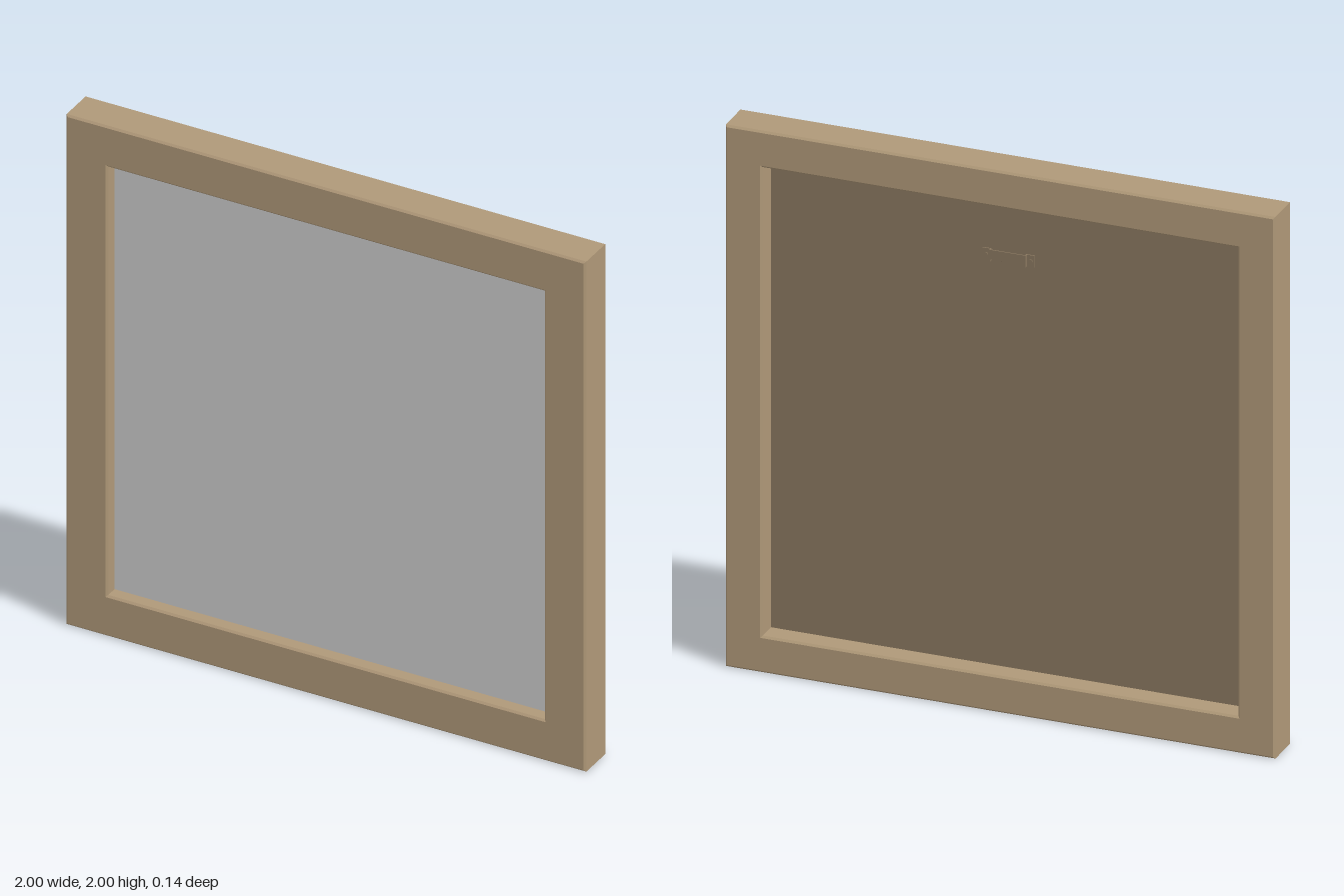
import * as THREE from 'three';

const wood = new THREE.MeshStandardMaterial({ name: 'wood', color: 0xaf9878 });
const print = new THREE.MeshStandardMaterial({ name: 'paleSheet', color: 0xcccccc });
const board = new THREE.MeshStandardMaterial({ name: 'brownBoard', color: 0x89775f });

const DEPTH = 0.0725; // half the frame depth
const LIP = 0.022; // back of the front lip

// Sweeps a closed (inset, z) profile around a 2 x 2 square with mitred corners.
function squareSweep(profile) {
  const corners = [[-1, -1], [1, -1], [1, 1], [-1, 1]];
  const at = (k, j) => {
    const [sx, sy] = corners[k % 4];
    const [inset, z] = profile[j % profile.length];
    return [sx * (1 - inset), 1 + sy * (1 - inset), z];
  };
  const pos = [];
  for (let k = 0; k < 4; k++) {
    for (let j = 0; j < profile.length; j++) {
      const a = at(k, j), b = at(k + 1, j), c = at(k + 1, j + 1), d = at(k, j + 1);
      pos.push(...a, ...b, ...c, ...a, ...c, ...d);
    }
  }
  const geo = new THREE.BufferGeometry();
  geo.setAttribute('position', new THREE.Float32BufferAttribute(pos, 3));
  geo.computeVertexNormals();
  return geo;
}

export function createModel() {
  const model = new THREE.Group();
  model.name = 'pictureFrame';

  const add = (name, geo, mat, x, y, z, parent = model) => {
    const mesh = new THREE.Mesh(geo, mat);
    mesh.name = name;
    mesh.position.set(x, y, z);
    parent.add(mesh);
    return mesh;
  };

  // Wooden frame with eased edges and a rabbet cut into the back
  const e = 0.007;
  add('frame', squareSweep([
    [e, -DEPTH], [0, -DEPTH + e], [0, DEPTH - e], [e, DEPTH],
    [0.16 - e, DEPTH], [0.16, DEPTH - e], [0.16, LIP],
    [0.135, LIP], [0.135, -DEPTH + e], [0.135 - e, -DEPTH],
  ]), wood, 0, 0, 0);

  // Sheet behind the lip, and the backing board behind it
  add('sheet', new THREE.BoxGeometry(1.73, 1.73, 0.006), print, 0, 1, LIP - 0.003);
  add('backingBoard', new THREE.BoxGeometry(1.73, 1.73, 0.008), board, 0, 1, LIP - 0.01);

  // Sawtooth hanger: two nailed tabs and a raised, toothed bar
  const hanger = new THREE.Group();
  hanger.name = 'hanger';
  hanger.position.set(0, 1.65, LIP - 0.014);
  model.add(hanger);

  const bar = new THREE.Shape();
  bar.moveTo(0.065, 0.022);
  bar.lineTo(-0.065, 0.022);
  bar.lineTo(-0.065, -0.02);
  const teeth = 10, step = 0.13 / teeth;
  for (let i = 0; i < teeth; i++) {
    bar.lineTo(-0.065 + (i + 0.5) * step, -0.012);
    bar.lineTo(-0.065 + (i + 1) * step, -0.02);
  }
  add('hangerBar', new THREE.ExtrudeGeometry(bar, { depth: 0.004, bevelEnabled: false }),
    board, 0, 0, -0.014, hanger);

  for (const s of [-1, 1]) {
    add('hangerTab', new THREE.BoxGeometry(0.032, 0.044, 0.004), board, s * 0.079, 0, -0.002, hanger);
    add('hangerStep', new THREE.BoxGeometry(0.004, 0.044, 0.014), board, s * 0.065, 0, -0.007, hanger);
    const nail = add('hangerNail', new THREE.CylinderGeometry(0.007, 0.007, 0.004, 12),
      board, s * 0.081, 0, -0.005, hanger);
    nail.rotation.x = Math.PI / 2;
  }
  return model;
}
